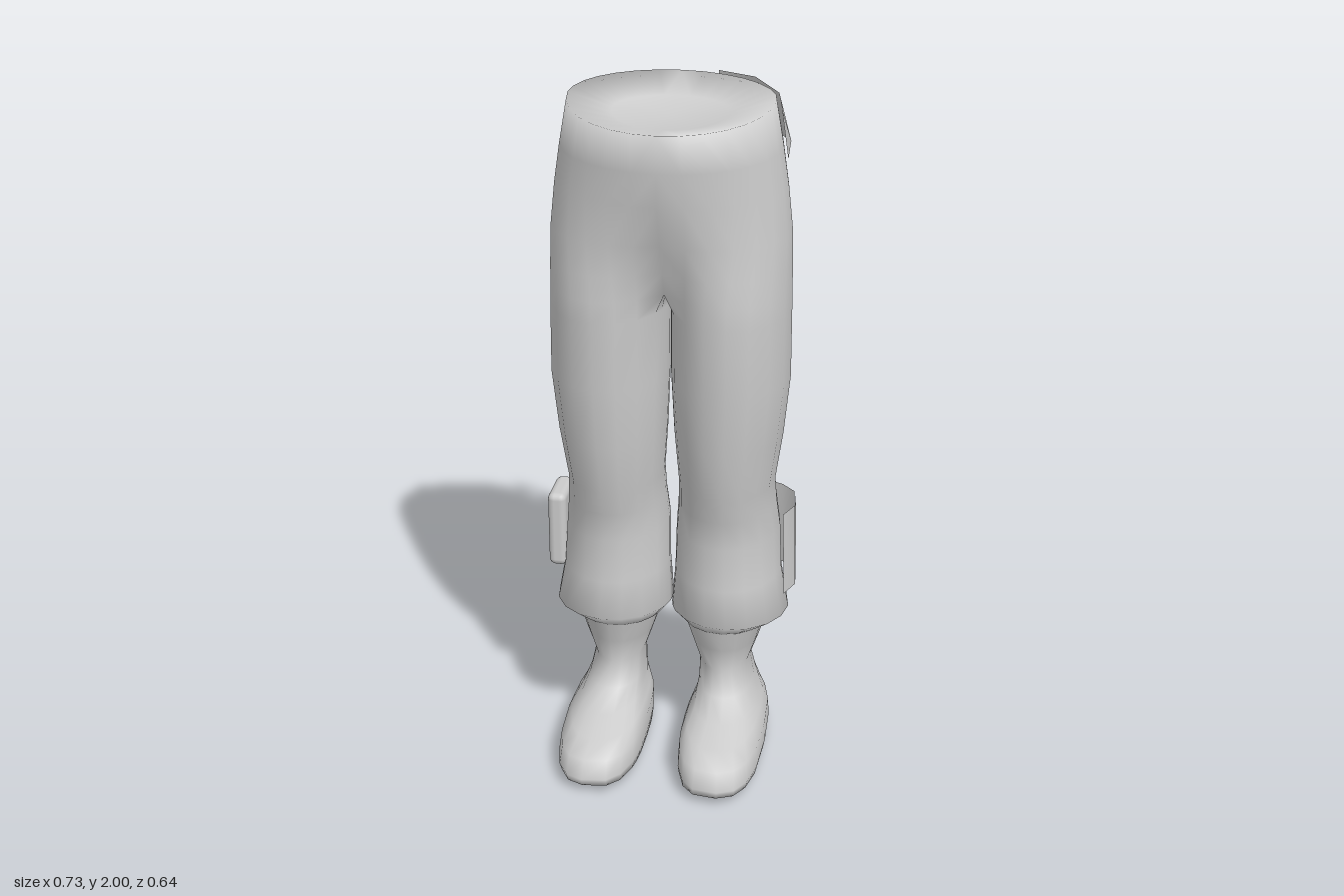
import * as THREE from 'three';
import { mergeGeometries, mergeVertices } from 'three/addons/utils/BufferGeometryUtils.js';
import { RoundedBoxGeometry } from 'three/addons/geometries/RoundedBoxGeometry.js';

const OUT = 14, INNER = 6, N = OUT + INNER; // ring segments: outer side, inside of the leg
const material = new THREE.MeshStandardMaterial({ color: 0xcccccc, side: THREE.DoubleSide });
const power = (v, p) => Math.sign(v) * Math.abs(v) ** p;

// One ring point. Row: y, outer x, inner x, front z, back z, leg share (0 trunk, 1 leg), tilt, bluntness.
function ringPoint([y, xo, xi, zf, zb, leg, tilt = 0, blunt = 1], j) {
  const inside = j > OUT, k = inside ? (j - OUT) / INNER : j / OUT;
  const a = inside ? Math.PI * (4 + k) / 3 : Math.PI * (5 * k - 1) / 3;
  const mid = (zf + zb) / 2, rz = (zf - zb) / 2, zc = -0.07;
  const lx = (xo + xi) / 2 + (xo - xi) / 2 * power(Math.sin(a), blunt);
  const lz = mid + rz * power(Math.cos(a), blunt);
  const c = Math.cos(Math.PI * k);
  const tx = inside ? 0 : xo * Math.sin(Math.PI * k);
  const tz = inside ? zb + (zf - zb) * k : zc + (c > 0 ? zf - zc : zc - zb) * c;
  const seam = leg < 1 && (inside || j === 0 || j === OUT);
  const z = THREE.MathUtils.lerp(tz, lz, leg);
  return [seam ? 0 : THREE.MathUtils.lerp(tx, lx, leg), y - tilt * (z + 0.035), z];
}

// Skin the rows from top to bottom; trunk rows stay open along the middle
function loft(rows, side) {
  const pos = [], index = [];
  for (const row of rows)
    for (let j = 0; j < N; j++) {
      const [x, y, z] = ringPoint(row, j);
      pos.push(side * x, y, z);
    }
  for (let r = 0; r < rows.length - 1; r++)
    for (let j = 0; j < (rows[r + 1][5] < 1 ? OUT : N); j++) {
      const j2 = (j + 1) % N;
      const a = r * N + j, b = a + N, c = (r + 1) * N + j2, d = r * N + j2;
      if (side > 0) index.push(a, b, c, a, c, d);
      else index.push(a, c, b, a, d, c);
    }
  const g = new THREE.BufferGeometry();
  g.setAttribute('position', new THREE.Float32BufferAttribute(pos, 3));
  g.setIndex(index);
  return g;
}

function bothSides(rows) {
  const g = mergeVertices(mergeGeometries([loft(rows, 1), loft(rows, -1)]), 1e-4);
  g.computeVertexNormals();
  return g;
}

// Open strip between two polylines
function strip(top, bottom) {
  const pos = [], index = [];
  top.forEach((p, i) => pos.push(...p, ...bottom[i]));
  for (let i = 0; i < top.length - 1; i++) {
    const a = 2 * i;
    index.push(a, a + 1, a + 3, a, a + 3, a + 2);
  }
  const g = new THREE.BufferGeometry();
  g.setAttribute('position', new THREE.Float32BufferAttribute(pos, 3));
  g.setIndex(index);
  g.computeVertexNormals();
  return g;
}

export function createModel() {
  const group = new THREE.Group();
  const add = (name, geometry, parent = group) => {
    const mesh = new THREE.Mesh(geometry, material);
    mesh.name = name;
    parent.add(mesh);
    return mesh;
  };

  // Trousers: shallow waist dish, trunk, crotch, legs, baggy knees and hem
  add('trousers', bothSides([
    [1.925, 0, 0, -0.07, -0.07, 0],
    [1.935, 0.16, 0, 0.07, -0.17, 0, 0.12],
    [1.97, 0.28, 0, 0.18, -0.245, 0, 0.15],
    [1.85, 0.302, 0, 0.172, -0.295, 0, 0.08],
    [1.74, 0.319, 0, 0.163, -0.319, 0],
    [1.62, 0.332, 0, 0.152, -0.308, 0.3],
    [1.53, 0.334, 0, 0.148, -0.296, 0.65],
    [1.46, 0.335, 0, 0.145, -0.289, 0.9],
    [1.4, 0.336, 0.003, 0.143, -0.284, 1],
    [1.2, 0.338, 0.004, 0.138, -0.275, 1],
    [1.02, 0.321, 0.012, 0.122, -0.277, 1],
    [0.87, 0.3, 0.023, 0.1, -0.28, 1],
    [0.79, 0.305, 0.02, 0.075, -0.285, 1],
    [0.7, 0.315, 0.012, 0.064, -0.308, 1],
    [0.57, 0.322, 0.01, 0.075, -0.3, 1],
    [0.445, 0.346, 0, 0.088, -0.312, 1, -0.08],
    [0.405, 0.287, 0.032, 0.042, -0.271, 1, -0.08],
  ]));

  // Boots: shaft, ankle, instep, toe and sole
  add('boots', bothSides([
    [0.42, 0.285, 0.032, 0.04, -0.27, 1],
    [0.34, 0.262, 0.058, 0.02, -0.258, 1],
    [0.26, 0.235, 0.085, 0, -0.24, 1],
    [0.19, 0.25, 0.085, 0.04, -0.262, 1, 0, 0.9],
    [0.152, 0.265, 0.08, 0.13, -0.278, 1, 0, 0.85],
    [0.128, 0.28, 0.068, 0.225, -0.278, 1, 0, 0.8],
    [0.1, 0.298, 0.056, 0.295, -0.276, 1, 0, 0.75],
    [0.05, 0.302, 0.055, 0.32, -0.273, 1, 0, 0.72],
    [0.017, 0.296, 0.058, 0.314, -0.27, 1, -0.03, 0.72],
    [0.008, 0.25, 0.1, 0.22, -0.2, 1, -0.03, 0.8],
    [0.012, 0.175, 0.175, 0, 0, 1],
  ]));

  // Boot heels
  const heelShape = new THREE.Shape();
  heelShape.moveTo(-0.11, 0.06);
  heelShape.lineTo(0.11, 0.06);
  heelShape.lineTo(0.1, 0.19);
  heelShape.quadraticCurveTo(0.07, 0.266, 0, 0.266);
  heelShape.quadraticCurveTo(-0.07, 0.266, -0.1, 0.19);
  for (const side of [1, -1]) {
    const heel = add(side > 0 ? 'leftHeel' : 'rightHeel',
      new THREE.ExtrudeGeometry(heelShape, { depth: 0.03, bevelEnabled: false, curveSegments: 4 }));
    heel.rotation.x = -Math.PI / 2;
    heel.position.x = side * 0.177;
  }

  // Belt flap wrapped around the left hip
  add('beltFlap', strip(
    [[0.298, 1.965, -0.03], [0.278, 1.978, -0.14], [0.2, 1.99, -0.25], [0.095, 1.995, -0.285]],
    [[0.316, 1.825, -0.05], [0.31, 1.84, -0.17], [0.213, 1.855, -0.29], [0.092, 1.865, -0.316]]));

  // Thin bent panels on the left calf
  const calfPanel = (name, points) => add(name, strip(
    points.map(([x, z]) => [x - 0.004, 0.768, z - 0.004]),
    points.map(([x, z]) => [x + 0.004, 0.512, z + 0.004])));
  calfPanel('leftCalfPanel', [[0.333, -0.054], [0.36, -0.12], [0.355, -0.186]]);
  calfPanel('leftRearCalfPanel', [[0.348, -0.21], [0.31, -0.25], [0.252, -0.279]]);

  // Rounded pad on the right calf
  const pad = add('rightCalfPad', new RoundedBoxGeometry(0.055, 0.235, 0.142, 2, 0.02));
  pad.position.set(-0.338, 0.66, -0.12);

  // Small flask with a curved lever on the right hip
  const flask = new THREE.Group();
  flask.name = 'hipFlask';
  const profile = [[0, -0.09], [0.028, -0.08], [0.052, -0.035], [0.052, 0.015], [0.026, 0.05], [0.022, 0.075], [0, 0.08]];
  add('flaskBody', new THREE.LatheGeometry(profile.map(p => new THREE.Vector2(...p)), 8), flask);
  const lever = [[0, 0.085], [0.035, 0.088], [0.06, 0.05], [0.064, -0.04]];
  add('flaskLever', strip(lever.map(([x, y]) => [x, y, -0.022]), lever.map(([x, y]) => [x, y, 0.022])), flask);
  flask.position.set(-0.27, 1.815, -0.248);
  flask.rotation.set(0.15, 0.25, 0.1);
  group.add(flask);

  return group;
}
